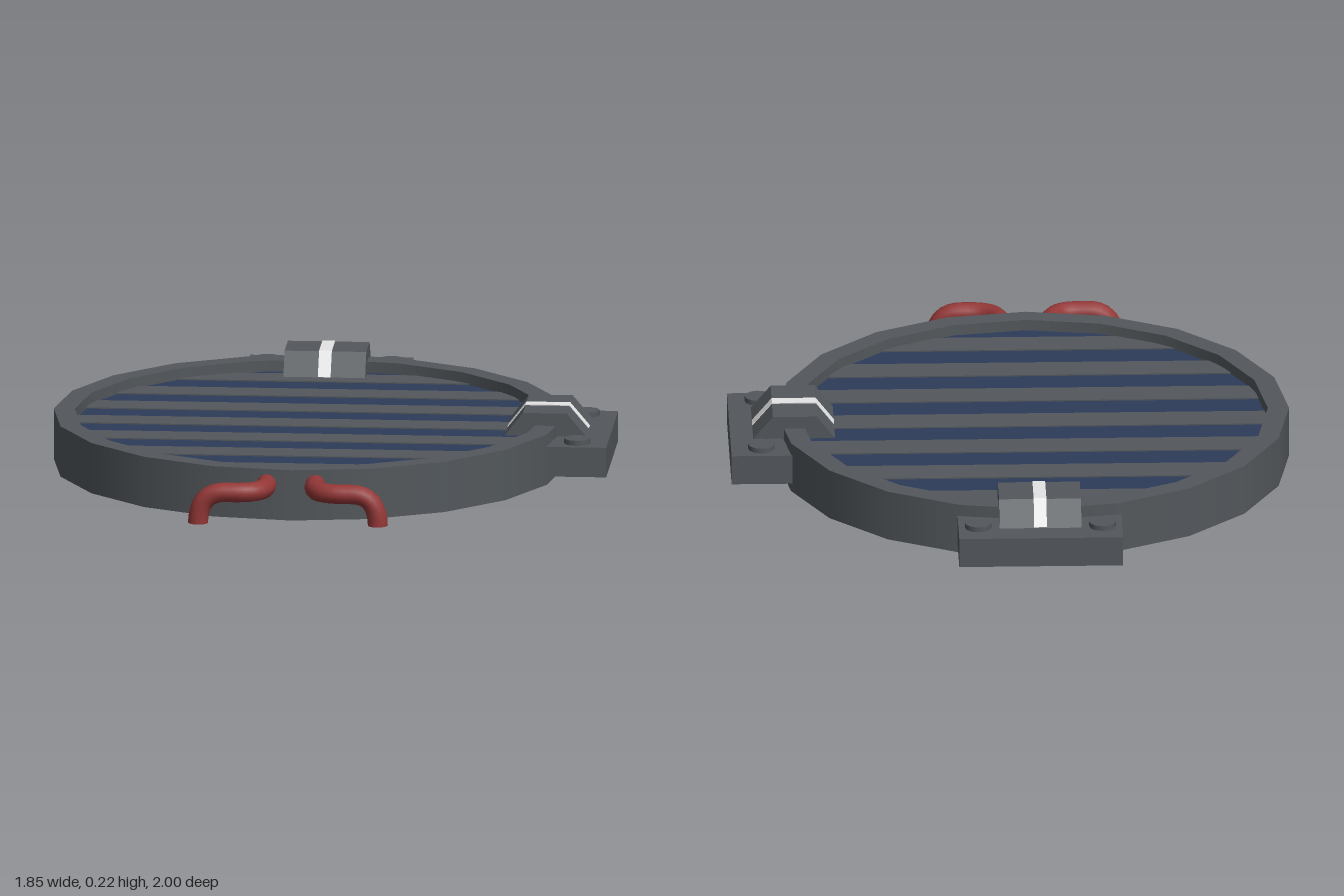
import * as THREE from 'three';

export function createModel() {
  const model = new THREE.Group();
  const mat = (name, color, side = THREE.FrontSide) =>
    Object.assign(new THREE.MeshStandardMaterial({ color, side }), { name });
  const grey = mat('dark grey', 0x53585c, THREE.DoubleSide);
  const blue = mat('navy blue', 0x2d3b59);
  const red = mat('red', 0x943737, THREE.DoubleSide);
  const white = mat('white', 0xe4e4e4);

  const add = (parent, name, geometry, material, x = 0, y = 0, z = 0) => {
    const mesh = new THREE.Mesh(geometry, material);
    mesh.name = name;
    mesh.position.set(x, y, z);
    parent.add(mesh);
    return mesh;
  };

  // Everything is laid out around the centre of the round body
  const body = new THREE.Group();
  body.name = 'body';
  body.position.x = -0.08;
  model.add(body);

  // Twenty-sided rim: open outer wall, flat top and inner lip
  const SIDES = 20, R = 0.845, RI = 0.775, TOP = 0.17, FLOOR = 0.13;
  add(body, 'outerWall', new THREE.CylinderGeometry(R, R, TOP, SIDES, 1, true), grey, 0, TOP / 2);
  add(body, 'rimTop', new THREE.RingGeometry(RI, R, SIDES, 1, Math.PI / 2).rotateX(-Math.PI / 2), grey, 0, TOP);
  add(body, 'innerLip', new THREE.CylinderGeometry(RI, RI, TOP - FLOOR, SIDES, 1, true), grey, 0, (TOP + FLOOR) / 2);

  // Blue panel with grey bars clipped to its outline
  add(body, 'panel', new THREE.CylinderGeometry(0.785, 0.785, 0.006, SIDES), blue, 0, FLOOR);
  const halfWidth = z => Math.sqrt(0.77 ** 2 - z * z);
  for (let i = -3; i <= 3; i++) {
    const z0 = i * 0.218 - 0.0545, pts = [];
    for (let k = 0; k <= 4; k++) {
      const z = z0 + 0.109 * k / 4;
      pts.push(new THREE.Vector2(halfWidth(z), -z));
      pts.unshift(new THREE.Vector2(-halfWidth(z), -z));
    }
    const bar = new THREE.ExtrudeGeometry(new THREE.Shape(pts), { depth: 0.004, bevelEnabled: false });
    add(body, 'panelBar', bar.rotateX(-Math.PI / 2), grey, 0, FLOOR + 0.003);
  }

  // Clip profile: distance from the centre and height
  const profile = [[0.655, 0.135], [0.715, 0.212], [0.86, 0.212], [0.925, 0.135]];
  const clipGeometry = (width, lift) => {
    const shape = new THREE.Shape(profile.map(([d, y]) => new THREE.Vector2(d, y + lift)));
    return new THREE.ExtrudeGeometry(shape, { depth: width, bevelEnabled: false }).translate(0, 0, -width / 2);
  };

  // Bracket box, open underneath and towards the body
  const bracketGeometry = () => {
    const g = new THREE.BoxGeometry(0.2, 0.1, 0.54);
    const index = Array.from(g.index.array);
    g.setIndex(index.filter((_, i) => ![1, 3].includes(Math.floor(i / 6))));
    g.clearGroups();
    return g;
  };

  // Two identical hinges, one at the left and one at the back
  for (const angle of [0, Math.PI / 2]) {
    const hinge = new THREE.Group();
    hinge.name = 'hinge';
    hinge.rotation.y = angle;
    body.add(hinge);
    add(hinge, 'bracket', bracketGeometry(), grey, 0.9, 0.08);
    add(hinge, 'clip', clipGeometry(0.27, 0), grey);
    add(hinge, 'clipStripe', clipGeometry(0.042, 0.003), white);
    for (const s of [-1, 1])
      add(hinge, 'bolt', new THREE.CylinderGeometry(0.044, 0.044, 0.1, 12), grey, 0.9, 0.097, s * 0.205);
  }

  // Pair of bent tubes leaving the front wall, turning outwards and then down
  for (const s of [-1, 1]) {
    const v = (x, y, z) => new THREE.Vector3(s * x, y, z);
    const path = new THREE.CurvePath();
    path.add(new THREE.LineCurve3(v(0.08, 0.12, 0.815), v(0.08, 0.12, 0.86)));
    path.add(new THREE.QuadraticBezierCurve3(v(0.08, 0.12, 0.86), v(0.08, 0.12, 0.967), v(0.18, 0.12, 0.967)));
    path.add(new THREE.LineCurve3(v(0.18, 0.12, 0.967), v(0.21, 0.12, 0.967)));
    path.add(new THREE.QuadraticBezierCurve3(v(0.21, 0.12, 0.967), v(0.295, 0.12, 0.967), v(0.297, 0.017, 0.967)));
    add(body, 'bentTube', new THREE.TubeGeometry(path, 20, 0.033, 12), red);
    // Flat end of the tube
    add(body, 'tubeEnd', new THREE.CircleGeometry(0.033, 12).rotateX(Math.PI / 2), red, s * 0.297, 0.017, 0.967);
  }

  return model;
}
